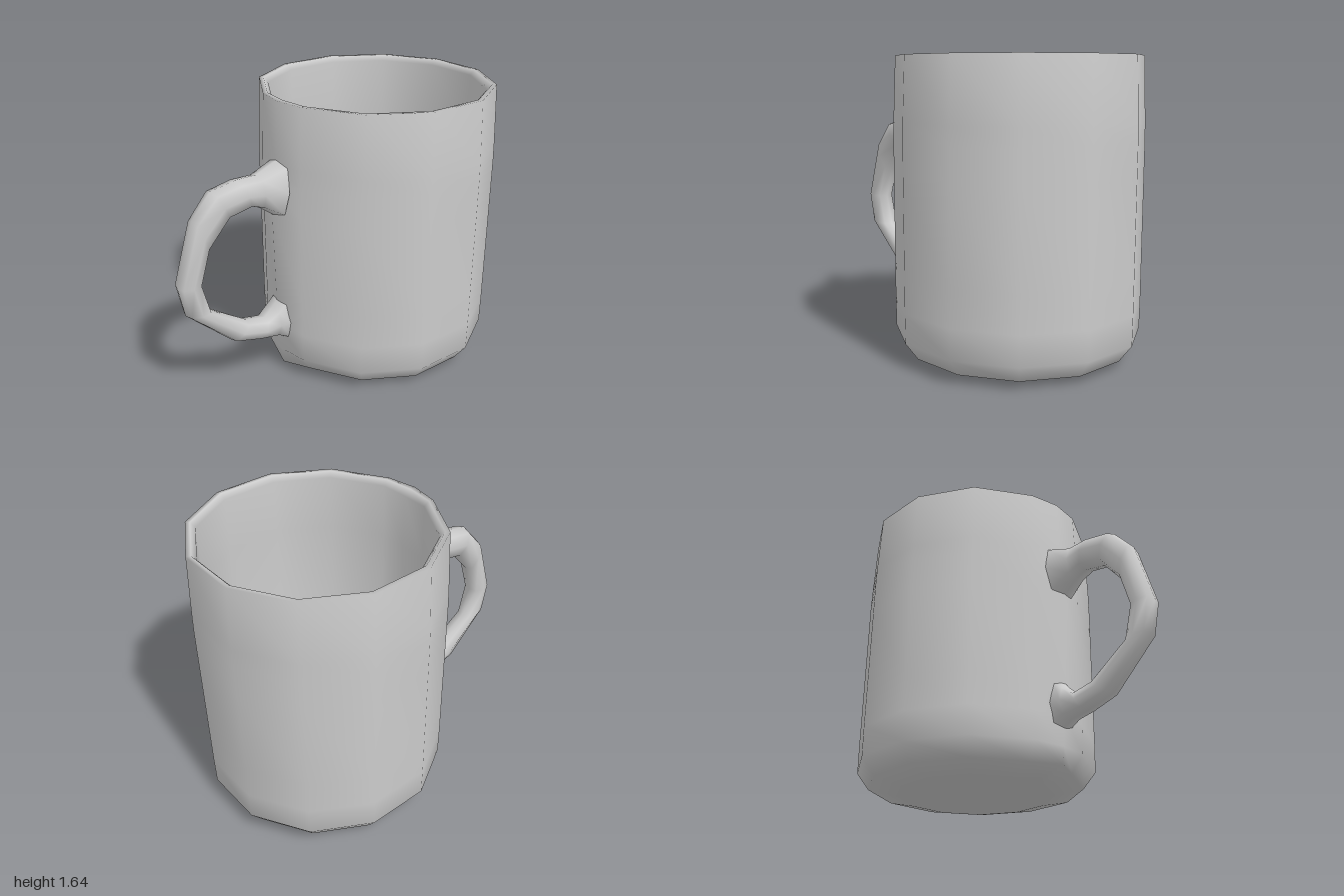
import * as THREE from 'three';
import { mergeVertices } from 'three/addons/utils/BufferGeometryUtils.js';

const material = new THREE.MeshStandardMaterial({ color: 0xcccccc });
const SIDES = 12;
const CENTRE_Z = -0.335;

// Weld seams so the normals run smoothly across the whole surface
function smooth(geometry) {
  geometry.deleteAttribute('uv');
  geometry.deleteAttribute('normal');
  const welded = mergeVertices(geometry, 1e-4);
  welded.computeVertexNormals();
  return welded;
}

// Cup: twelve flat sides plus an extra front column that swells under the handle
function cupGeometry() {
  // [distance to flat side, height, distance to front column]
  const profile = [
    [0, 0, 0], [0.43, 0, 0.525], [0.595, 0.04, 0.68], [0.663, 0.135, 0.69],
    [0.665, 0.3, 0.705], [0.665, 0.5, 0.718], [0.665, 1.02, 0.73], [0.665, 1.2, 0.71],
    [0.663, 1.3, 0.695], [0.65, 1.645, 0.68], // outer wall
    [0.625, 1.645, 0.645], [0.6, 1.615, 0.605], // rim
    [0.6, 1.3, 0.6], [0.6, 0.25, 0.6], [0.54, 0.12, 0.54], [0.4, 0.08, 0.4], [0, 0.08, 0], // inside
  ];
  const points = profile.map(([r, y]) => new THREE.Vector2(r, y));
  const geometry = new THREE.LatheGeometry(points, SIDES + 1);
  const position = geometry.attributes.position;
  const step = (2 * Math.PI) / SIDES;
  for (let i = 0; i < position.count; i++) {
    const column = Math.floor(i / profile.length) % (SIDES + 1);
    const [flat, y, front] = profile[i % profile.length];
    const angle = column === 0 ? 0 : (column - 0.5) * step;
    const radius = column === 0 ? front : flat / Math.cos(step / 2);
    position.setXYZ(i, radius * Math.sin(angle), y, radius * Math.cos(angle) + CENTRE_Z);
  }
  return smooth(geometry);
}

// Handle: eight-sided cross-sections between an outer and an inner outline
function handleGeometry() {
  // [outer z, outer y, inner z, inner y, half width]
  const sections = [
    [0.34, 1.33, 0.37, 1.0, 0.115], [0.49, 1.27, 0.48, 1.08, 0.085],
    [0.617, 1.27, 0.55, 1.11, 0.085], [0.77, 1.243, 0.686, 1.083, 0.08],
    [0.89, 1.11, 0.815, 0.933, 0.07], [1.0, 0.757, 0.869, 0.751, 0.067],
    [0.965, 0.58, 0.82, 0.57, 0.065], [0.697, 0.33, 0.59, 0.42, 0.068],
    [0.53, 0.285, 0.47, 0.393, 0.075], [0.415, 0.265, 0.41, 0.445, 0.09],
    [0.33, 0.21, 0.36, 0.5, 0.095],
  ];
  // Cross-section corners: [across, towards the outer outline]
  const ring = [[0, 1], [0.72, 0.8], [1, 0], [0.72, -0.8], [0, -1], [-0.72, -0.8], [-1, 0], [-0.72, 0.8]];
  const n = ring.length;
  const vertices = [];
  const indices = [];
  sections.forEach(([oz, oy, iz, iy, w], i) => {
    ring.forEach(([across, out], j) => {
      const t = (1 + out) / 2;
      vertices.push(across * w, iy + (oy - iy) * t, iz + (oz - iz) * t);
      if (i === sections.length - 1) return;
      const a = i * n + j, b = i * n + ((j + 1) % n);
      indices.push(a, a + n, b, b, a + n, b + n);
    });
  });
  const geometry = new THREE.BufferGeometry();
  geometry.setAttribute('position', new THREE.Float32BufferAttribute(vertices, 3));
  geometry.setIndex(indices);
  geometry.computeVertexNormals();
  return geometry;
}

export function createModel() {
  const mug = new THREE.Group();
  mug.name = 'mug';
  const parts = { cup: cupGeometry(), handle: handleGeometry() };
  for (const [name, geometry] of Object.entries(parts)) {
    const mesh = new THREE.Mesh(geometry, material);
    mesh.name = name;
    mug.add(mesh);
  }
  return mug;
}
